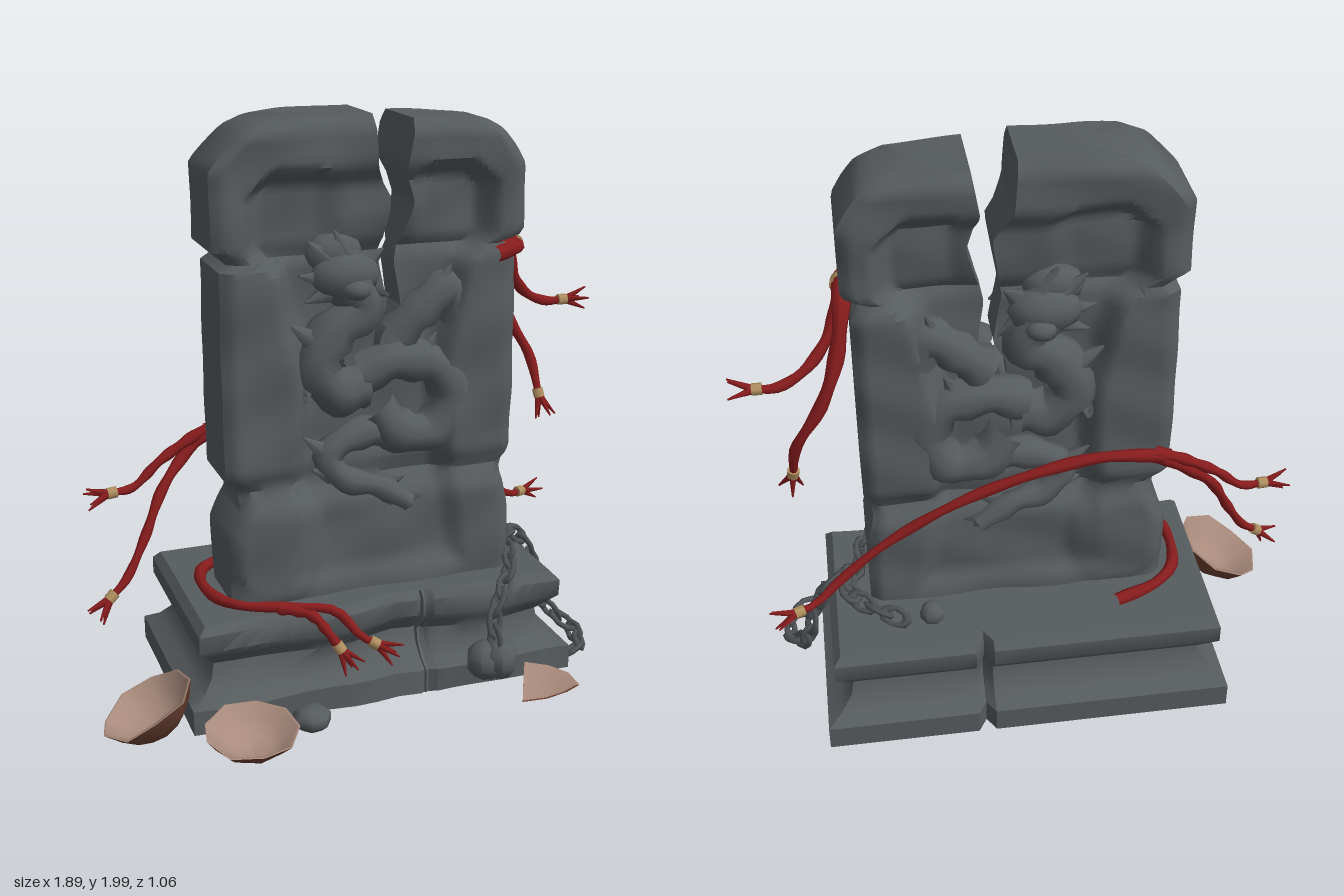
import * as THREE from 'three';
import { mergeGeometries, toCreasedNormals } from 'three/addons/utils/BufferGeometryUtils.js';

const V = (a) => new THREE.Vector3(...a);
const mat = (name, color, side = THREE.FrontSide) => {
  const m = new THREE.MeshStandardMaterial({ color, side });
  m.name = name;
  return m;
};
const lerp = THREE.MathUtils.lerp, smooth = THREE.MathUtils.smoothstep;
// piecewise linear lookup: pairs of [y, value], y ascending
const look = (t, y) => {
  for (let i = 1; i < t.length; i++)
    if (y <= t[i][0]) return lerp(t[i - 1][1], t[i][1], Math.max(0, (y - t[i - 1][0]) / (t[i][0] - t[i - 1][0])));
  return t[t.length - 1][1];
};
const rough = (x, y, s = 0) => Math.sin(x * 17 + y * 9 + s) * 0.5 + Math.sin(y * 23 - x * 11 + s * 2.3) * 0.5;
// triangular bump of half width w
const ridge = (v, at, w) => Math.max(0, 1 - Math.abs(v - at) / w);

// closed skin through rings of points, with fan caps
function loft(rings, crease) {
  const n = rings[0].length, pos = rings.flat(2), idx = [], last = rings.length - 1;
  for (let i = 0; i < last; i++)
    for (let j = 0; j < n; j++) {
      const k = (j + 1) % n, a = i * n + j, b = i * n + k;
      idx.push(a, b, b + n, a, b + n, a + n);
    }
  for (const r of [0, last]) {
    const c = pos.length / 3;
    for (let k = 0; k < 3; k++) pos.push(rings[r].reduce((s, p) => s + p[k], 0) / n);
    for (let j = 0; j < n; j++) {
      const a = r * n + j, b = r * n + (j + 1) % n;
      r ? idx.push(a, b, c) : idx.push(b, a, c);
    }
  }
  const g = new THREE.BufferGeometry();
  g.setAttribute('position', new THREE.Float32BufferAttribute(pos, 3));
  g.setIndex(idx);
  return toCreasedNormals(g, crease);
}

// tube whose radius runs from r0 to r1
function taper(points, r0, r1, seg = 28, sides = 7) {
  const curve = new THREE.CatmullRomCurve3(points.map(V));
  const g = new THREE.TubeGeometry(curve, seg, 1, sides), p = g.attributes.position, v = new THREE.Vector3();
  for (let i = 0; i < p.count; i++) {
    const t = Math.floor(i / (sides + 1)) / seg, c = curve.getPointAt(t);
    const r = lerp(r0, r1, t) * (1 + 0.12 * Math.sin(t * 31));
    v.fromBufferAttribute(p, i).sub(c).multiplyScalar(r).add(c);
    p.setXYZ(i, v.x, v.y, v.z);
  }
  return g;
}

// cone or rod between two points
function rod(a, b, r0, r1, sides = 6) {
  const d = b.clone().sub(a), g = new THREE.CylinderGeometry(r1, r0, d.length(), sides);
  g.applyQuaternion(new THREE.Quaternion().setFromUnitVectors(new THREE.Vector3(0, 1, 0), d.clone().normalize()));
  return g.translate(...a.clone().add(b).multiplyScalar(0.5).toArray());
}

export function createModel() {
  const root = new THREE.Group();
  const stone = mat('stone', 0x565b5e), red = mat('red sinew', 0x881c1d), tan = mat('tan band', 0xb0905f);
  const iron = mat('iron', 0x505457);
  const clay = mat('pale clay', 0xa98b7c, THREE.DoubleSide), brown = mat('brown clay', 0x6b4132, THREE.DoubleSide);
  const add = (name, geo, m) => {
    const mesh = new THREE.Mesh(geo, m);
    mesh.name = name;
    root.add(mesh);
    return mesh;
  };

  // plinth: two moulded blocks meeting at a notched crack, front worn away beside it
  const profile = [[0.015, 0], [0.1, 0], [0.13, 0.05], [0.17, 0.085], [0.22, 0.095], [0.26, 0.06], [0.29, 0.035], [0.35, 0.035], [0.378, 0.06]];
  for (const s of [-1, 1]) {
    const rings = profile.map(([y, ins]) => {
      const xo = s < 0 ? -0.64 + ins : 0.74 - ins, xi = 0.2, zf = 0.23 - ins, zb = -0.53 + ins;
      const cut = xi + s * 0.03;
      const c = s < 0
        ? [[xo, zf], [cut, zf], [xi, zf - 0.018], [xi, zb + 0.05], [cut, zb], [xo, zb]]
        : [[cut, zf], [xo, zf], [xo, zb], [cut, zb], [xi, zb + 0.05], [xi, zf - 0.018]];
      return c.flatMap((p, i) => {
        const q = c[(i + 1) % c.length];
        return [0, 1, 2, 3, 4, 5, 6, 7, 8, 9].map((k) => {
          const x = lerp(p[0], q[0], k / 10), z = lerp(p[1], q[1], k / 10);
          const chip = 0.012 * (rough(x * 0.8, y * 0.6, 1) - 0.4) - 0.025 * ridge(x, 0.08, 0.14);
          const swell = 0.03 * ridge(y, 0.2, 0.1) * (s > 0 ? ridge(x, 0.4, 0.25) : ridge(x, -0.15, 0.25));
          return [x, y, z + (z > zf - 0.01 ? chip + swell : 0)];
        });
      });
    });
    add(s < 0 ? 'rightPlinthBlock' : 'leftPlinthBlock', loft(rings, 0.7), stone);
  }

  // slab: outlines of each half by height
  const outerR = [[0.37, -0.45], [0.62, -0.46], [0.72, -0.41], [0.79, -0.42], [0.82, -0.465], [1.52, -0.465], [1.55, -0.43], [1.58, -0.49], [1.84, -0.49], [1.97, -0.38], [2, -0.32]];
  const crackR = [[0.37, 0.2], [0.7, 0.11], [1, 0.06], [1.15, 0.065], [1.28, 0.08], [1.35, 0.12], [1.52, 0.09], [1.72, 0.12], [1.83, 0.06], [2, 0.045]];
  const crackL = [[0.37, 0.195], [0.7, 0.105], [0.98, 0.055], [1.03, 0.07], [1.15, 0.085], [1.25, 0.1], [1.35, 0.17], [1.5, 0.145], [1.7, 0.2], [1.83, 0.16], [1.98, 0.185]];
  const outerL = [[0.37, 0.56], [0.62, 0.56], [0.74, 0.53], [0.8, 0.56], [1.5, 0.56], [1.55, 0.53], [1.58, 0.585], [1.81, 0.585], [1.95, 0.5], [1.98, 0.45]];
  const panelWidth = [[0.4, 0.36], [0.85, 0.29], [1.1, 0.27], [1.3, 0.31], [1.5, 0.35], [1.58, 0.45], [1.75, 0.45], [1.84, 0.35]];
  // half thickness: thick frame, sunken panel, joints and worn edges
  const depth = (x, y, edge, top, s) => {
    const inside = Math.min(look(panelWidth, y) - Math.abs(x - 0.05), 1.85 - y, y - 0.4);
    const sunk = lerp(0.03, 0.085, smooth(y, 0.66, 0.95)) * smooth(inside, 0, 0.08);
    // rock left standing beside the crack under the arch
    const rib = 0.04 * smooth(y, 1.5, 1.7) * smooth(x, -0.14, -0.04) * smooth(0.26 - x, 0, 0.08);
    const boulder = 0.05 * Math.sqrt(Math.max(0, 1 - Math.hypot((x + 0.29) / 0.17, (y - 0.58) / 0.21)));
    const joint = 0.035 * ridge(y, 0.77, 0.07) + 0.022 * ridge(y, 1.55, 0.03);
    const worn = 0.03 * ridge(edge, 0, 0.035) + 0.03 * ridge(y, top, 0.04);
    return 0.15 - sunk + Math.min(rib, sunk * 0.6) + Math.min(boulder, sunk + 0.012) - joint - worn + 0.009 * rough(x, y, s);
  };
  const COLS = 28, ROWS = 72;
  for (const s of [-1, 1]) {
    const top = s < 0 ? 1.995 : 1.975, rings = [];
    for (let i = 0; i <= ROWS; i++) {
      const y = lerp(0.37, top, i / ROWS), ring = [];
      const xl = look(s < 0 ? outerR : crackL, y), xr = look(s < 0 ? crackR : outerL, y);
      for (const face of [1, -1])
        for (let j = 0; j <= COLS; j++) {
          const u = face > 0 ? j / COLS : 1 - j / COLS, x = lerp(xl, xr, u);
          const edge = s < 0 ? x - xl : xr - x;
          const drop = s < 0 ? 0.015 * smooth(-x, 0.15, 0.36) : 0.02 * smooth(x, 0.2, 0.5);
          ring.push([x, y - drop * smooth(y, 1.85, top), -0.075 + face * depth(x, y, edge, top, face)]);
        }
      rings.push(ring);
    }
    add(s < 0 ? 'rightSlabHalf' : 'leftSlabHalf', loft(rings, 0.75), stone);
  }

  // coiled beast in relief, mirrored on the back
  const coils = [
    [[[-0.04, 1.47, 0.02], [0.02, 1.37, 0.01], [-0.08, 1.28, 0.01], [-0.13, 1.18, 0.01], [-0.07, 1.09, 0.01], [0.03, 1.09, 0.0]], 0.078, 0.085],
    [[[0.02, 1.13, 0.0], [0.14, 1.17, 0.015], [0.28, 1.14, 0.015], [0.34, 1.03, 0.015], [0.27, 0.91, 0.015], [0.14, 0.93, 0.015], [0.08, 1.01, 0.0]], 0.07, 0.075],
    [[[0.15, 1.25, -0.01], [0.24, 1.34, 0.005], [0.33, 1.4, 0.005], [0.37, 1.29, 0.0], [0.35, 1.15, 0.0]], 0.07, 0.06],
    [[[0.18, 0.9, 0.01], [0.03, 0.93, 0.015], [-0.1, 0.86, 0.02], [-0.05, 0.78, 0.035], [0.07, 0.74, 0.045], [0.18, 0.67, 0.055]], 0.062, 0.035],
  ];
  const spikes = [
    [-0.1, 1.47, -0.2, 1.49], [-0.08, 1.43, -0.18, 1.4], [-0.08, 1.52, -0.17, 1.6], [-0.02, 1.53, -0.08, 1.63], [0.03, 1.51, 0.09, 1.56], [0.03, 1.44, 0.11, 1.4],
    [-0.19, 1.1, -0.28, 1.08], [-0.18, 1.08, -0.26, 1.14], [-0.15, 1.27, -0.23, 1.33], [0.33, 1.4, 0.41, 1.44], [0.3, 1.41, 0.33, 1.49], [0.36, 1.34, 0.43, 1.36],
    [0.36, 1.08, 0.43, 1.13], [0.35, 0.98, 0.42, 0.95], [0.24, 1.18, 0.28, 1.26], [-0.1, 0.87, -0.19, 0.94], [-0.09, 0.8, -0.16, 0.82],
    [0.08, 0.73, 0.17, 0.76], [0.1, 0.71, 0.13, 0.63], [0.16, 0.68, 0.25, 0.68], [0.17, 0.68, 0.21, 0.61], [0.3, 0.9, 0.33, 0.83],
  ].map(([a, b, c, d]) => rod(V([a, b, 0.02]), V([c, d, 0.035]), 0.042, 0.004, 5));
  const lumps = [
    [0.1, 1.2, 0.8, 0.7, -0.04, 1.48, 0.03], [0.05, 1, 0.7, 0.8, -0.02, 1.44, 0.085], [0.09, 1.1, 0.8, 0.6, -0.07, 1.55, 0],
  ].map(([r, sx, sy, sz, x, y, z]) => new THREE.IcosahedronGeometry(r, 1).scale(sx, sy, sz).translate(x, y, z));
  const relief = mergeGeometries([...coils.map(([p, a, b]) => taper(p, a, b, 32, 9).toNonIndexed()),
    ...spikes.map((g) => g.toNonIndexed()), ...lumps]);
  add('frontRelief', relief, stone);
  // turned about the slab's middle plane with its corners reordered
  const back = relief.clone().scale(1, 1, -1).translate(0, 0, -0.15);
  for (const key of ['position', 'normal']) {
    const at = back.attributes[key], a = new THREE.Vector3(), b = new THREE.Vector3();
    for (let i = 0; i < at.count; i += 3) {
      a.fromBufferAttribute(at, i);
      b.fromBufferAttribute(at, i + 1);
      at.setXYZ(i, b.x, b.y, b.z);
      at.setXYZ(i + 1, a.x, a.y, a.z);
    }
  }
  add('backRelief', back, stone);

  // sinewy limbs: tapered tube, band at the wrist, spread claws
  const limb = (name, pts, r0, r1) => {
    add(name, taper(pts, r0, r1), red);
    const end = V(pts[pts.length - 1]), dir = end.clone().sub(V(pts[pts.length - 2])).normalize();
    const side = new THREE.Vector3(0, 0, 1).cross(dir).normalize(), up = dir.clone().cross(side);
    add(name + 'Band', rod(end.clone().addScaledVector(dir, -0.025), end.clone().addScaledVector(dir, 0.008), 0.02, 0.02, 7), tan);
    const claws = [[0.55, 0.1], [0.1, 0.55], [-0.5, 0.15], [-0.05, -0.5]].map(([a, b]) => {
      const tip = end.clone().addScaledVector(dir, 0.08).addScaledVector(side, a * 0.075).addScaledVector(up, b * 0.075);
      return rod(end, tip, 0.014, 0.003, 5);
    });
    add(name + 'Claws', mergeGeometries(claws), red);
  };
  limb('upperLimb', [[0.47, 1.52, 0.08], [0.57, 1.53, 0.04], [0.59, 1.51, -0.06], [0.63, 1.4, -0.11], [0.71, 1.31, -0.155], [0.8, 1.27, -0.18], [0.87, 1.27, -0.18]], 0.026, 0.015);
  limb('upperLongLimb', [[0.5, 1.53, 0.07], [0.575, 1.54, -0.03], [0.58, 1.54, -0.14], [0.61, 1.38, -0.21], [0.67, 1.22, -0.235], [0.76, 1.06, -0.22], [0.78, 0.92, -0.17]], 0.032, 0.015);
  add('shoulderBand', rod(V([0.57, 1.53, 0.0]), V([0.578, 1.53, -0.03]), 0.038, 0.038, 8), tan);
  limb('backLimb', [[-0.46, 0.91, -0.24], [-0.2, 0.93, -0.245], [0.2, 0.82, -0.245], [0.5, 0.65, -0.245], [0.66, 0.54, -0.28], [0.75, 0.48, -0.32], [0.81, 0.475, -0.345]], 0.023, 0.014);
  limb('sideLimb', [[-0.4, 0.93, -0.24], [-0.48, 0.9, -0.24], [-0.62, 0.82, -0.23], [-0.72, 0.74, -0.22], [-0.8, 0.735, -0.21]], 0.022, 0.013);
  limb('sideLowLimb', [[-0.4, 0.92, -0.24], [-0.5, 0.86, -0.24], [-0.62, 0.74, -0.19], [-0.7, 0.59, -0.14], [-0.78, 0.46, -0.1], [-0.84, 0.41, -0.08]], 0.022, 0.014);
  limb('footLimb', [[-0.27, 0.39, -0.35], [-0.42, 0.395, -0.29], [-0.5, 0.4, -0.2], [-0.51, 0.405, 0], [-0.44, 0.4, 0.1], [-0.28, 0.395, 0.16], [-0.14, 0.38, 0.21], [-0.07, 0.3, 0.26], [-0.02, 0.27, 0.28]], 0.022, 0.015);
  limb('footBranch', [[-0.32, 0.395, 0.15], [-0.22, 0.37, 0.19], [-0.17, 0.31, 0.24], [-0.14, 0.26, 0.26]], 0.022, 0.015);

  // chain: stretched rings turned a quarter at each step
  const chain = (name, pts, count) => {
    const curve = new THREE.CatmullRomCurve3(pts.map(V)), links = [];
    for (let i = 0; i < count; i++) {
      const t = (i + 0.5) / count, x = curve.getTangentAt(t), y = new THREE.Vector3(0.3, 0.5, 0.8).cross(x).normalize();
      const z = x.clone().cross(y), m = new THREE.Matrix4();
      i % 2 ? m.makeBasis(x, y, z) : m.makeBasis(x, z, y.clone().negate());
      links.push(new THREE.TorusGeometry(0.027, 0.0105, 5, 8).scale(1.8, 1, 1).applyMatrix4(m.setPosition(curve.getPointAt(t))));
    }
    add(name, mergeGeometries(links), iron);
  };
  chain('longChain', [[0.42, 0.17, 0.28], [0.43, 0.3, 0.25], [0.5, 0.37, 0.18], [0.57, 0.41, 0.06], [0.61, 0.41, -0.09], [0.69, 0.4, -0.13], [0.76, 0.27, -0.12], [0.8, 0.12, -0.1], [0.86, 0.05, 0.01], [0.84, 0.045, 0.11], [0.77, 0.04, 0.17]], 19);
  chain('backChain', [[0.46, 0.4, -0.35], [0.54, 0.4, -0.29], [0.63, 0.41, -0.2], [0.63, 0.42, -0.1]], 5);

  // loose stones
  for (const [x, y, z, r, h] of [[0.4, 0.12, 0.25, 0.075, 0.95], [0.44, 0.13, 0.28, 0.062, 1.2], [-0.26, 0.055, 0.31, 0.068, 0.65], [0.36, 0.4, -0.33, 0.045, 1]]) {
    const g = new THREE.SphereGeometry(r, 7, 5).scale(1, h, 1).rotateY(x * 9);
    add('looseStone', toCreasedNormals(g, 0.8), stone).position.set(x, y, z);
  }

  // clay bowls with an uneven rim; the last one is a shard
  const shell = (pts, start, sweep) => {
    const g = new THREE.LatheGeometry(pts.map((p) => new THREE.Vector2(...p)), sweep > 6 ? 9 : 3, start, sweep), p = g.attributes.position;
    for (let i = 0; i < p.count; i++) {
      const w = smooth(p.getY(i), -0.05, 0), a = Math.atan2(p.getX(i), p.getZ(i));
      p.setY(i, p.getY(i) + 0.008 * w * Math.sin(a * 4 + 1));
    }
    return g;
  };
  const bowl = (name, pos, rot, scale, start = 0, sweep = Math.PI * 2) => {
    const g = new THREE.Group();
    g.name = name;
    const out = new THREE.Mesh(shell([[0, -0.11], [0.07, -0.1], [0.125, -0.055], [0.16, 0]], start, sweep), brown);
    const inn = new THREE.Mesh(shell([[0.16, 0], [0.15, 0.002], [0.115, -0.05], [0.065, -0.088], [0, -0.097]], start, sweep), clay);
    out.name = 'bowlOutside';
    inn.name = 'bowlInside';
    g.add(out, inn);
    g.position.set(...pos);
    g.rotation.set(...rot);
    g.scale.set(...scale);
    root.add(g);
  };
  bowl('tiltedBowl', [-0.785, 0.13, 0.17], [-0.06, 0, 0.48], [1.05, 1, 1.02]);
  bowl('flatBowl', [-0.49, 0.1, 0.39], [0.2, 0, 0], [0.99, 0.78, 0.9]);
  bowl('bowlShard', [0.47, 0.07, 0.41], [0.12, 0, 0], [1.26, 0.45, 1.05], 1.4, 1.35);

  return root;
}
